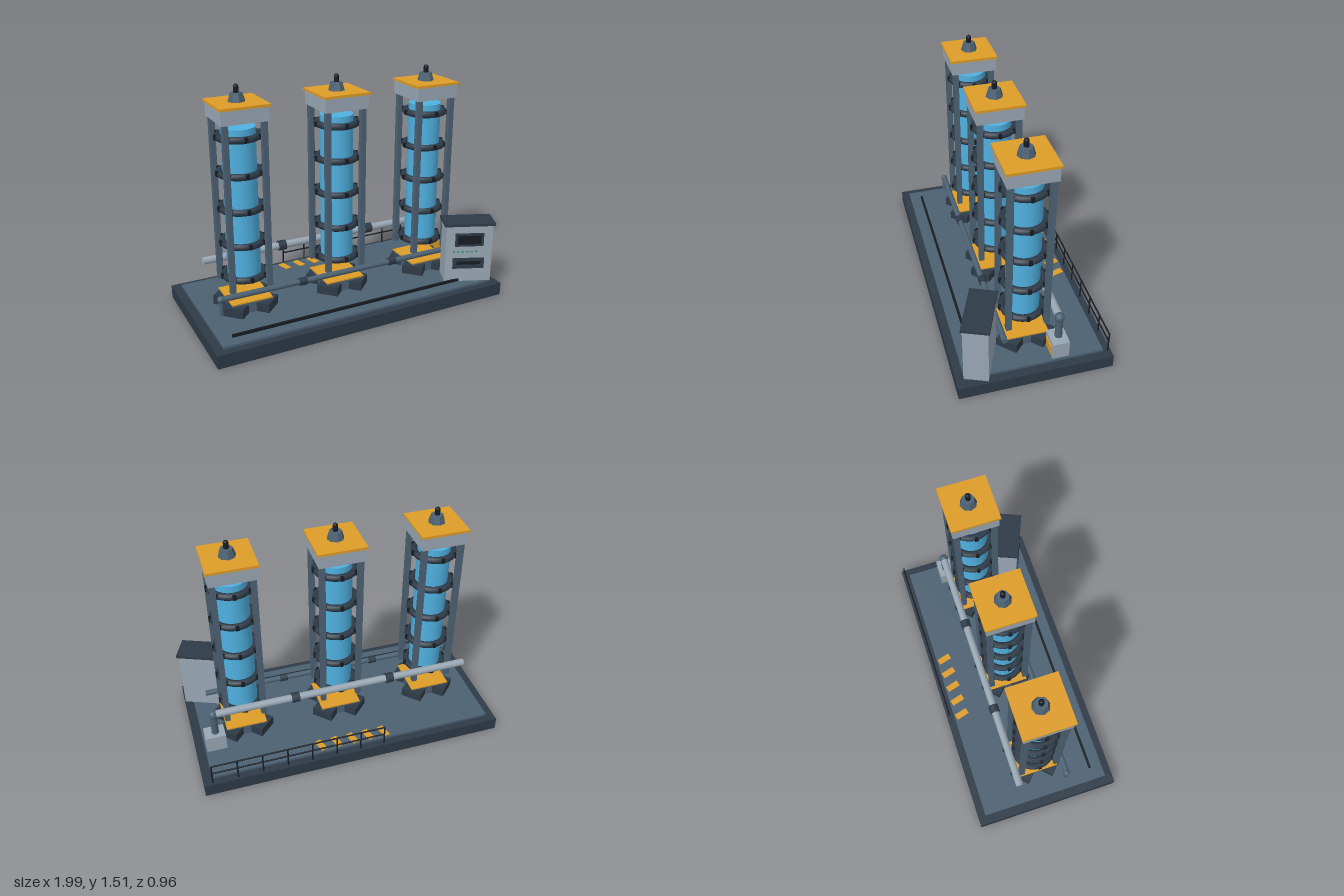
import * as THREE from 'three';

const mat = (color) => new THREE.MeshStandardMaterial({ color, flatShading: true });
const smooth = (color) => new THREE.MeshStandardMaterial({ color });
const navy = mat(0x2d3a47), steel = mat(0x4c6172), light = mat(0x98a6b3), gold = mat(0xdd9c28);
const black = mat(0x161c23), green = mat(0x2f8f6f);
const blue = smooth(0x4fb0e0), pipeLight = smooth(0x98a6b3), pipeSteel = smooth(0x4c6172), pipeDark = smooth(0x2d3a47);

function add(parent, name, geometry, material, x = 0, y = 0, z = 0) {
  const mesh = new THREE.Mesh(geometry, material);
  mesh.name = name;
  mesh.position.set(x, y, z);
  parent.add(mesh);
  return mesh;
}
// box given by its size, centre x/z and bottom y
const box = (p, name, m, w, h, d, x, y, z) => add(p, name, new THREE.BoxGeometry(w, h, d), m, x, y + h / 2, z);
const tube = (p, name, m, r, x0, x1, y, z) => {
  const t = add(p, name, new THREE.CylinderGeometry(r, r, x1 - x0, 20), m, (x0 + x1) / 2, y, z);
  t.rotation.z = Math.PI / 2;
  return t;
};
const post = (p, name, m, r, y0, y1, x, z, n = 20) =>
  add(p, name, new THREE.CylinderGeometry(r, r, y1 - y0, n), m, x, (y0 + y1) / 2, z);

function makeTower(x) {
  const g = new THREE.Group();
  g.name = 'tower';
  g.position.x = x;

  // plinth with four feet set on the diagonals
  box(g, 'plinth', steel, 0.25, 0.075, 0.25, 0, 0.1, 0);
  box(g, 'plinthPlate', gold, 0.265, 0.008, 0.265, 0, 0.174, 0);
  for (let i = 0; i < 4; i++) {
    const a = Math.PI / 4 + i * Math.PI / 2;
    const foot = box(g, 'foot', navy, 0.14, 0.06, 0.085, Math.sin(a) * 0.148, 0.1, Math.cos(a) * 0.148);
    foot.rotation.y = a;
  }

  // corner columns
  for (const sx of [-1, 1]) for (const sz of [-1, 1])
    box(g, 'column', steel, 0.034, 1.05, 0.034, sx * 0.119, 0.257, sz * 0.119);

  // liquid cylinder with bolted bands
  post(g, 'tank', blue, 0.104, 0.305, 1.26, 0, 0, 32);
  for (let i = 0; i < 5; i++) {
    const y = 0.32 + i * 0.221;
    const ring = add(g, 'band', new THREE.TorusGeometry(0.122, 0.022, 8, 32), pipeDark, 0, y, 0);
    ring.rotation.x = Math.PI / 2;
    for (let k = 0; k < 8; k++) {
      const a = k * Math.PI / 4;
      const bolt = box(g, 'bandBolt', black, 0.022, 0.03, 0.016, Math.sin(a) * 0.139, y - 0.012, Math.cos(a) * 0.139);
      bolt.rotation.y = a;
    }
  }

  // head box, roof plate and beacon
  box(g, 'head', light, 0.29, 0.085, 0.29, 0, 1.305, 0);
  box(g, 'roofPlate', gold, 0.306, 0.016, 0.306, 0, 1.39, 0);
  add(g, 'beaconBase', new THREE.CylinderGeometry(0.038, 0.053, 0.05, 8), steel, 0, 1.431, 0);
  post(g, 'beaconStem', black, 0.016, 1.455, 1.49, 0, 0, 12);
  add(g, 'beaconTip', new THREE.SphereGeometry(0.016, 12, 8), black, 0, 1.49, 0);
  return g;
}

function makeCabinet() {
  const g = new THREE.Group();
  g.name = 'controlCabinet';
  g.position.set(0.807, 0, 0.308);
  g.rotation.y = -0.395;
  box(g, 'cabinetBody', light, 0.31, 0.4, 0.15, 0, 0.1, 0);
  box(g, 'cabinetRoof', navy, 0.336, 0.018, 0.168, 0, 0.497, 0);
  box(g, 'screenFrame', navy, 0.19, 0.092, 0.01, 0, 0.355, 0.076);
  box(g, 'screen', black, 0.155, 0.06, 0.01, 0, 0.371, 0.079);
  for (let i = 0; i < 6; i++) box(g, 'light', green, 0.016, 0.008, 0.008, -0.1 + i * 0.03, 0.312, 0.076);
  box(g, 'keypad', navy, 0.21, 0.075, 0.01, 0, 0.195, 0.076);
  box(g, 'keypadSlot', black, 0.16, 0.022, 0.01, 0, 0.225, 0.079);
  return g;
}

export function createModel() {
  const g = new THREE.Group();
  g.name = 'tankStation';

  // platform
  box(g, 'base', navy, 1.98, 0.085, 0.96, -0.01, 0, 0);
  box(g, 'deck', steel, 1.87, 0.017, 0.86, -0.01, 0.084, 0);
  box(g, 'floorStrip', black, 1.67, 0.018, 0.014, -0.03, 0.1, 0.348);
  for (let i = 0; i < 5; i++) {
    const s = box(g, 'warningStripe', gold, 0.042, 0.006, 0.09, -0.225 + i * 0.107, 0.1, -0.375);
    s.rotation.y = 0.27;
  }

  for (const x of [-0.652, -0.01, 0.633]) g.add(makeTower(x));
  g.add(makeCabinet());

  // rear pipe running into the pump box
  tube(g, 'rearPipe', pipeLight, 0.024, -0.865, 0.845, 0.37, -0.166);
  add(g, 'rearElbow', new THREE.SphereGeometry(0.03, 20, 14), pipeSteel, 0.845, 0.37, -0.166);
  post(g, 'rearDownPipe', pipeSteel, 0.023, 0.2, 0.37, 0.845, -0.166);
  box(g, 'pumpBox', light, 0.13, 0.115, 0.105, 0.85, 0.1, -0.163);
  box(g, 'pumpPanel', gold, 0.09, 0.065, 0.008, 0.85, 0.118, -0.108);

  // front pipe with its drop at the left end
  tube(g, 'frontPipe', pipeSteel, 0.018, -0.865, 0.845, 0.258, 0.166);
  add(g, 'frontElbow', new THREE.SphereGeometry(0.022, 16, 12), pipeSteel, -0.865, 0.258, 0.166);
  post(g, 'frontDownPipe', pipeSteel, 0.015, 0.155, 0.258, -0.865, 0.166);

  // pipe collars
  for (const x of [-0.33, 0.31]) {
    tube(g, 'rearCollar', pipeDark, 0.033, x - 0.026, x + 0.026, 0.37, -0.166);
    tube(g, 'frontCollar', pipeDark, 0.025, x - 0.026, x + 0.026, 0.258, 0.166);
  }

  // rear guard rail
  for (const y of [0.165, 0.225]) tube(g, 'rail', black, 0.005, -0.2, 0.925, y, -0.46);
  for (let i = 0; i < 8; i++) post(g, 'railPost', black, 0.005, 0.084, 0.228, -0.2 + i * 0.1607, -0.46, 8);
  return g;
}
